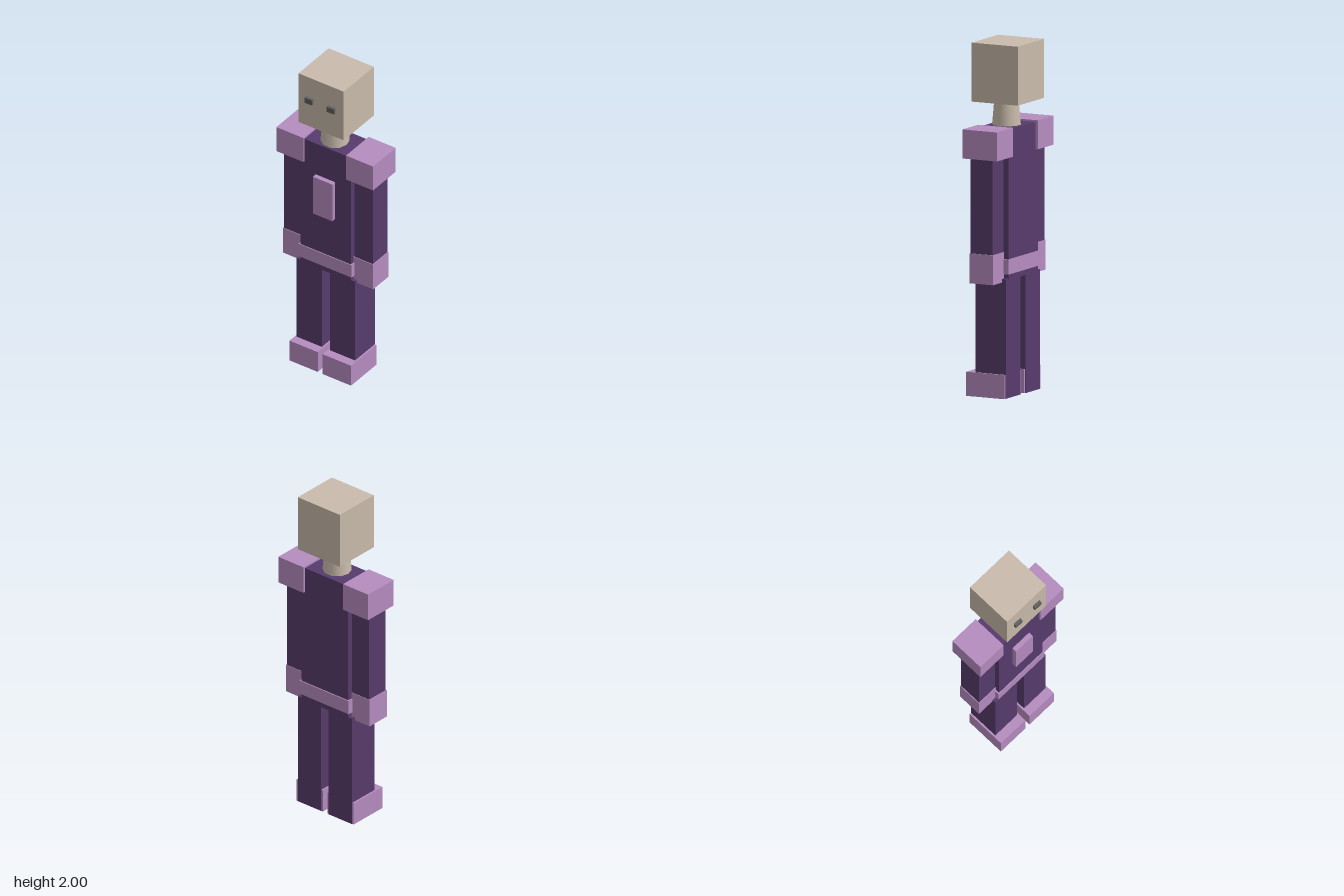
import * as THREE from 'three';

const material = (name, color) => {
  const m = new THREE.MeshStandardMaterial({ color });
  m.name = name;
  return m;
};

export function createModel() {
  const skin = material('skin', 0xc9bbab);
  const suit = material('darkPurpleSuit', 0x573b6c);
  const trim = material('lilacTrim', 0xb58dc0);
  const eyeGrey = material('eyeGrey', 0x606060);

  const model = new THREE.Group();
  model.name = 'blockFigure';

  // Adds a box spanning the given [min, max] ranges
  const box = (name, mat, [x0, x1], [y0, y1], [z0, z1]) => {
    const mesh = new THREE.Mesh(new THREE.BoxGeometry(x1 - x0, y1 - y0, z1 - z0), mat);
    mesh.position.set((x0 + x1) / 2, (y0 + y1) / 2, (z0 + z1) / 2);
    mesh.name = name;
    model.add(mesh);
  };

  // Head and tapered neck
  box('head', skin, [-0.156, 0.154], [1.665, 2], [-0.157, 0.137]);
  const neck = new THREE.Mesh(new THREE.CylinderGeometry(0.069, 0.083, 0.16, 10, 1, false, Math.PI / 2), skin);
  neck.position.set(-0.002, 1.595, 0);
  neck.name = 'neck';
  model.add(neck);

  // Torso, belt and chest plate
  box('torso', suit, [-0.175, 0.171], [0.672, 1.525], [-0.107, 0.092]);
  box('belt', trim, [-0.184, 0.18], [0.705, 0.79], [-0.113, 0.097]);
  box('chestPlate', trim, [-0.069, 0.064], [1.06, 1.313], [0.08, 0.121]);

  // Paired parts, mirrored about the body's slightly offset midline
  for (const [side, s] of [['left', 1], ['right', -1]]) {
    const span = (inner, outer) => [s * inner - 0.002, s * outer - 0.002].sort((a, b) => a - b);
    box(side + 'Eye', eyeGrey, span(0.05, 0.101), [1.83, 1.865], [0.12, 0.155]);
    box(side + 'ShoulderPad', trim, span(0.146, 0.331), [1.37, 1.535], [-0.12, 0.101]);
    box(side + 'Arm', suit, span(0.178, 0.304), [0.75, 1.45], [-0.078, 0.064]);
    box(side + 'Hand', trim, span(0.175, 0.309), [0.66, 0.83], [-0.081, 0.068]);
    // The trouser back runs to the ground behind the shoe
    const legBase = s > 0 ? 0.001 : 0;
    box(side + 'Leg', suit, span(0.028, 0.2), [legBase, 0.68], [-0.105, 0.089]);
    box(side + 'Shoe', trim, span(0.017, 0.211), [0.001 - legBase, 0.137], [-0.103, 0.144]);
  }

  return model;
}
